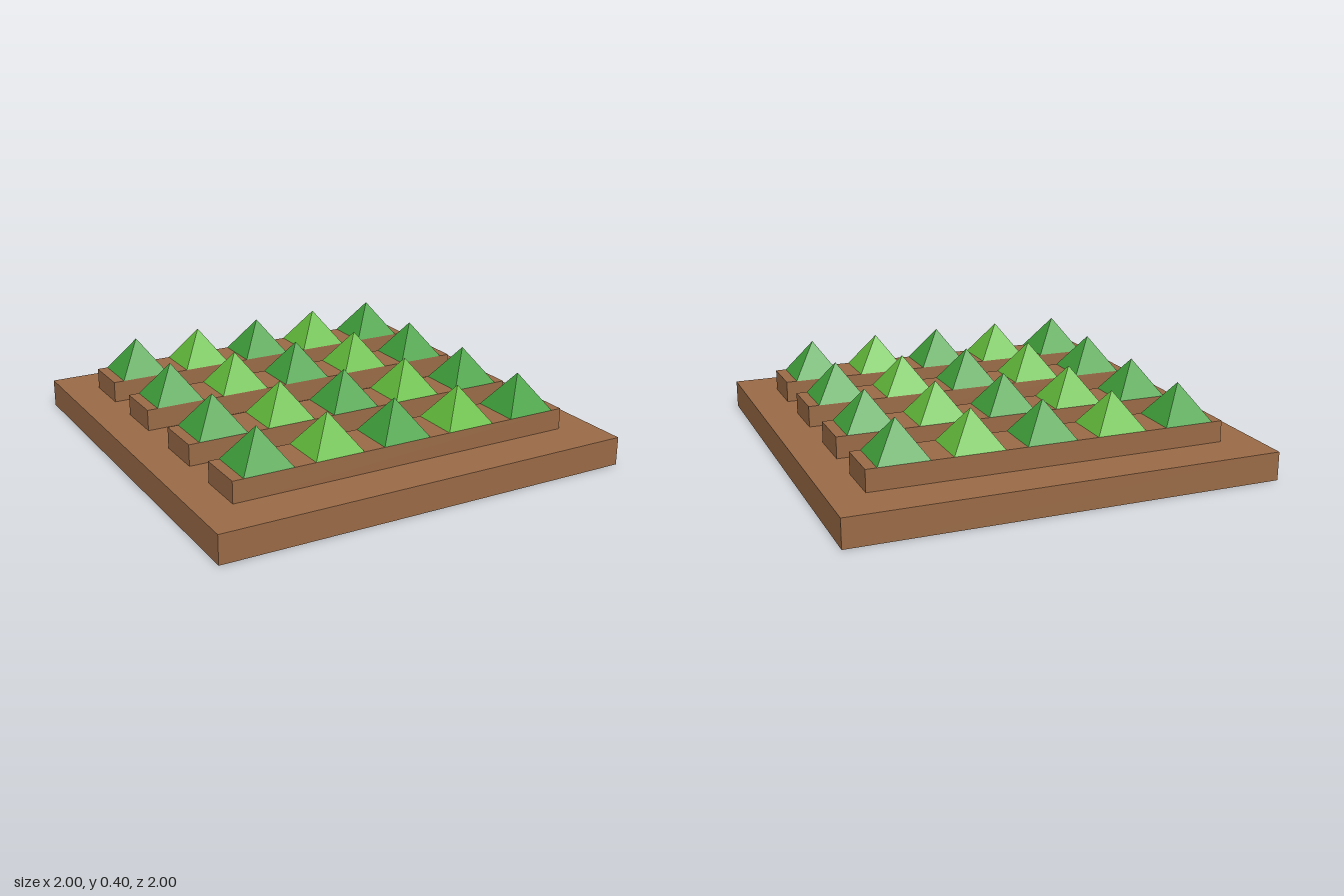
import * as THREE from 'three';

const soil = new THREE.MeshStandardMaterial({ color: 0x996a46, side: THREE.DoubleSide });
soil.name = 'soil brown';
const darkLeaf = new THREE.MeshStandardMaterial({ color: 0x40a03b, flatShading: true });
darkLeaf.name = 'leaf green';
const lightLeaf = new THREE.MeshStandardMaterial({ color: 0x64bc3b, flatShading: true });
lightLeaf.name = 'light leaf green';

const BASE_TOP = 0.133, BED_TOP = 0.233, PLANT_TOP = 0.4, BED_WIDTH = 0.233;

// Box standing on y = 0 with its underside left open
function openBox(width, height, depth) {
  const geometry = new THREE.BoxGeometry(width, height, depth).translate(0, height / 2, 0);
  const index = Array.from(geometry.index.array);
  index.splice(18, 6); // the downward face
  geometry.setIndex(index);
  geometry.clearGroups();
  return geometry;
}

function addMesh(parent, name, geometry, material, x, y, z) {
  const mesh = new THREE.Mesh(geometry, material);
  mesh.name = name;
  mesh.position.set(x, y, z);
  parent.add(mesh);
}

export function createModel() {
  const model = new THREE.Group();
  model.name = 'cropField';

  // Hollow ground slab
  addMesh(model, 'ground', openBox(2, BASE_TOP, 2), soil, 0, 0, 0);

  const bed = openBox(1.667, BED_TOP - BASE_TOP, BED_WIDTH);
  const plantHeight = PLANT_TOP - BED_TOP;
  const plant = new THREE.ConeGeometry(BED_WIDTH / Math.SQRT2, plantHeight, 4, 1, true)
    .rotateY(Math.PI / 4)
    .translate(0, plantHeight / 2, 0);

  // Four raised beds, each with five pyramid plants in alternating greens
  for (const z of [-0.667, -0.235, 0.235, 0.667]) {
    const row = new THREE.Group();
    row.name = 'plantRow';
    row.position.z = z;
    addMesh(row, 'bed', bed, soil, 0, BASE_TOP, 0);
    for (let i = 0; i < 5; i++) {
      addMesh(row, 'plant', plant, i % 2 ? lightLeaf : darkLeaf, (i - 2) / 3, BED_TOP, 0);
    }
    model.add(row);
  }
  return model;
}
